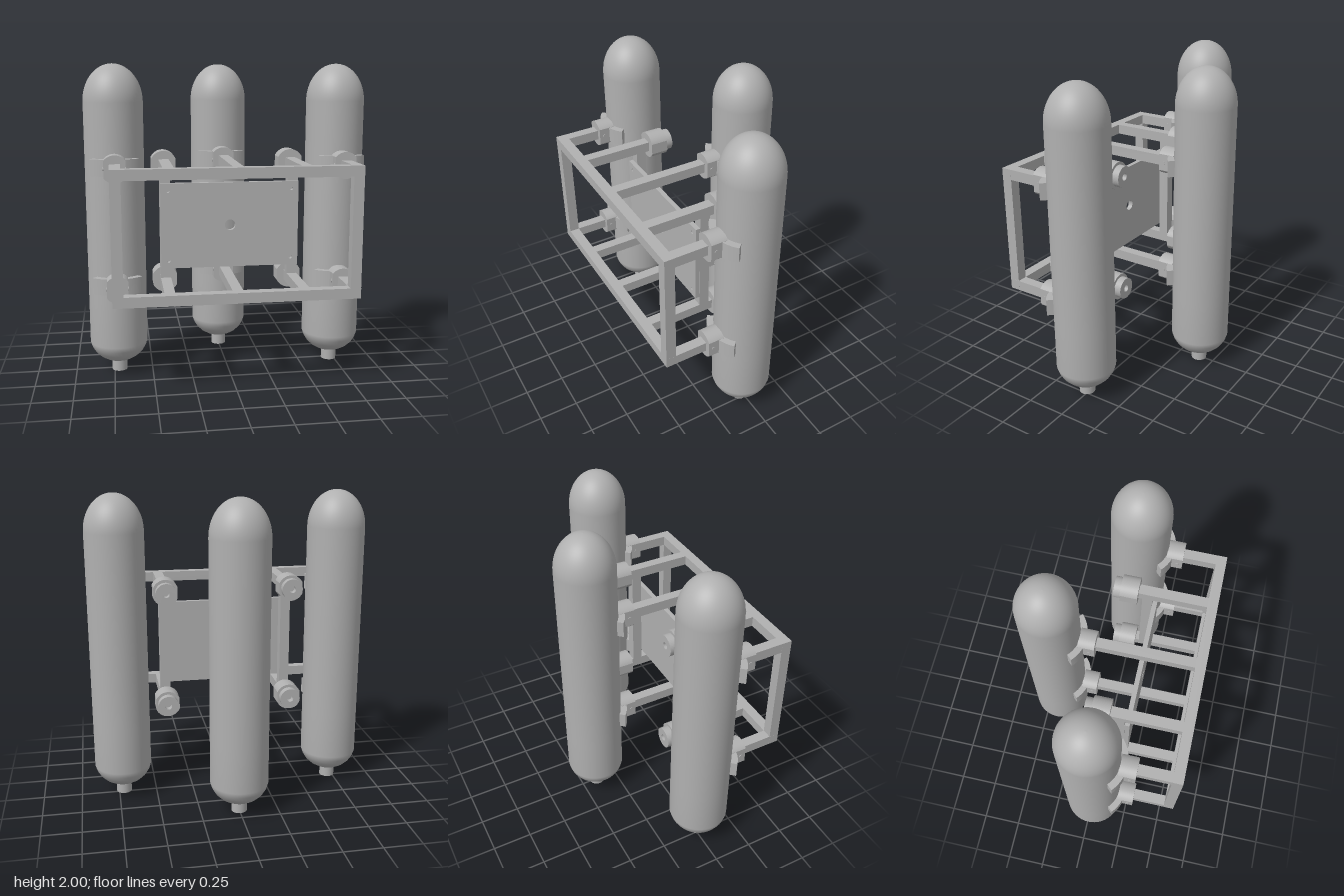
import * as THREE from 'three';

const steel = new THREE.MeshStandardMaterial({ color: 0xb0b0b0 });
steel.name = 'plainGrey';

function add(parent, name, geometry, x = 0, y = 0, z = 0) {
  const mesh = new THREE.Mesh(geometry, steel);
  mesh.name = name;
  mesh.position.set(x, y, z);
  parent.add(mesh);
  return mesh;
}

function extrude(shape, depth, curveSegments = 24) {
  return new THREE.ExtrudeGeometry(shape, { depth, bevelEnabled: false, curveSegments });
}

function hole(shape, x, y, r) {
  const path = new THREE.Path();
  path.absarc(x, y, r, 0, Math.PI * 2, true);
  shape.holes.push(path);
}

// disc with its two sides cut flat at x = +-w
function cutDisc(r, w) {
  const a = Math.acos(w / r);
  const s = new THREE.Shape();
  s.absarc(0, 0, r, a, Math.PI - a, false);
  s.absarc(0, 0, r, Math.PI + a, 2 * Math.PI - a, false);
  s.closePath();
  return s;
}

// bottle standing on a short neck
function tank(x, z) {
  const g = new THREE.Group();
  g.name = 'tank';
  g.position.set(x, 0, z);
  const R = 0.187;
  const pts = [[0, 0.07], [0.055, 0.073], [0.09, 0.085], [0.125, 0.106], [0.155, 0.135], [0.176, 0.17], [R, 0.205], [R, 0.5], [R, 1.2]]
    .map(p => new THREE.Vector2(...p));
  for (let i = 0; i <= 16; i++) {
    const t = (i / 16) * Math.PI / 2;
    pts.push(new THREE.Vector2(i === 16 ? 0 : R * Math.cos(t), 1.765 + 0.235 * Math.sin(t)));
  }
  add(g, 'tankShell', new THREE.LatheGeometry(pts, 48));
  add(g, 'tankNeck', new THREE.CylinderGeometry(0.05, 0.05, 0.1, 24), 0, 0.05, 0);
  return g;
}

// curved jaw gripping a tank, with a round socket block in front
function tankClamp(x, y, z) {
  const g = new THREE.Group();
  g.name = 'tankClamp';
  g.position.set(x, y, z);
  const mid = Math.PI / 2, a = 0.75;
  const jaw = new THREE.Shape();
  jaw.absarc(0, 0, 0.228, mid - a, mid + a, false);
  jaw.absarc(0, 0, 0.185, mid + a, mid - a, true);
  jaw.closePath();
  const jawGeo = extrude(jaw, 0.104);
  jawGeo.rotateX(Math.PI / 2);
  add(g, 'clampJaw', jawGeo, 0, 0.052, 0);
  add(g, 'clampSocket', extrude(cutDisc(0.085, 0.066), 0.105), 0, 0, 0.183);
  for (const s of [-1, 1]) {
    const bolt = new THREE.CylinderGeometry(0.012, 0.012, 0.006, 16);
    bolt.rotateZ(Math.PI / 2);
    add(g, 'clampBolt', bolt, s * 0.067, 0, 0.255);
  }
  return g;
}

// empty mount: socket block with a ring facing the back
function rearMount(x, y) {
  const g = new THREE.Group();
  g.name = 'rearMount';
  g.position.set(x, y, 0);
  add(g, 'mountSocket', extrude(cutDisc(0.085, 0.077), 0.113), 0, 0, -0.035);
  const ring = new THREE.Shape();
  ring.absarc(0, 0, 0.067, 0, Math.PI * 2, false);
  hole(ring, 0, 0, 0.022);
  add(g, 'mountRing', extrude(ring, 0.045), 0, 0, -0.08);
  return g;
}

export function createModel() {
  const model = new THREE.Group();
  model.name = 'tankRack';
  const T = 0.065, levels = [0.622, 1.372], front = 0.547;
  const tanks = [[-0.717, 0.018], [0, -0.393], [0.717, 0.018]];

  for (const [x, z] of tanks) {
    model.add(tank(x, z));
    for (const y of levels) model.add(tankClamp(x, y, z));
  }

  // rectangular front frame
  const frame = new THREE.Group();
  frame.name = 'frame';
  model.add(frame);
  const rod = (x, y, zBack) => {
    const len = 0.516 - zBack;
    add(frame, 'frameRod', new THREE.BoxGeometry(T, T, len), x, y, zBack + len / 2);
  };
  for (const y of levels) {
    add(frame, 'crossBar', new THREE.BoxGeometry(1.5, T, T), 0, y, front);
    for (const [x, z] of tanks) rod(x, y, z + 0.26);
    for (const x of [-0.41, 0.41]) {
      rod(x, y, 0.07);
      model.add(rearMount(x, y));
    }
  }
  const gap = levels[1] - levels[0] - T;
  for (const s of [-1, 1]) {
    add(frame, 'framePost', new THREE.BoxGeometry(T, gap, T), s * 0.717, 0.997, front);
    add(frame, 'plateStrut', new THREE.BoxGeometry(T, gap, T), s * 0.41, 0.997, 0.137);
  }

  // back plate with a centre hole and four screw holes
  const plate = new THREE.Shape();
  plate.moveTo(-0.44, -0.272);
  plate.lineTo(0.44, -0.272);
  plate.lineTo(0.44, 0.272);
  plate.lineTo(-0.44, 0.272);
  plate.closePath();
  hole(plate, 0, 0, 0.034);
  for (const sx of [-1, 1]) for (const sy of [-1, 1]) hole(plate, sx * 0.393, sy * 0.224, 0.011);
  add(model, 'mountingPlate', extrude(plate, 0.03), 0, 0.994, 0.17);

  return model;
}
